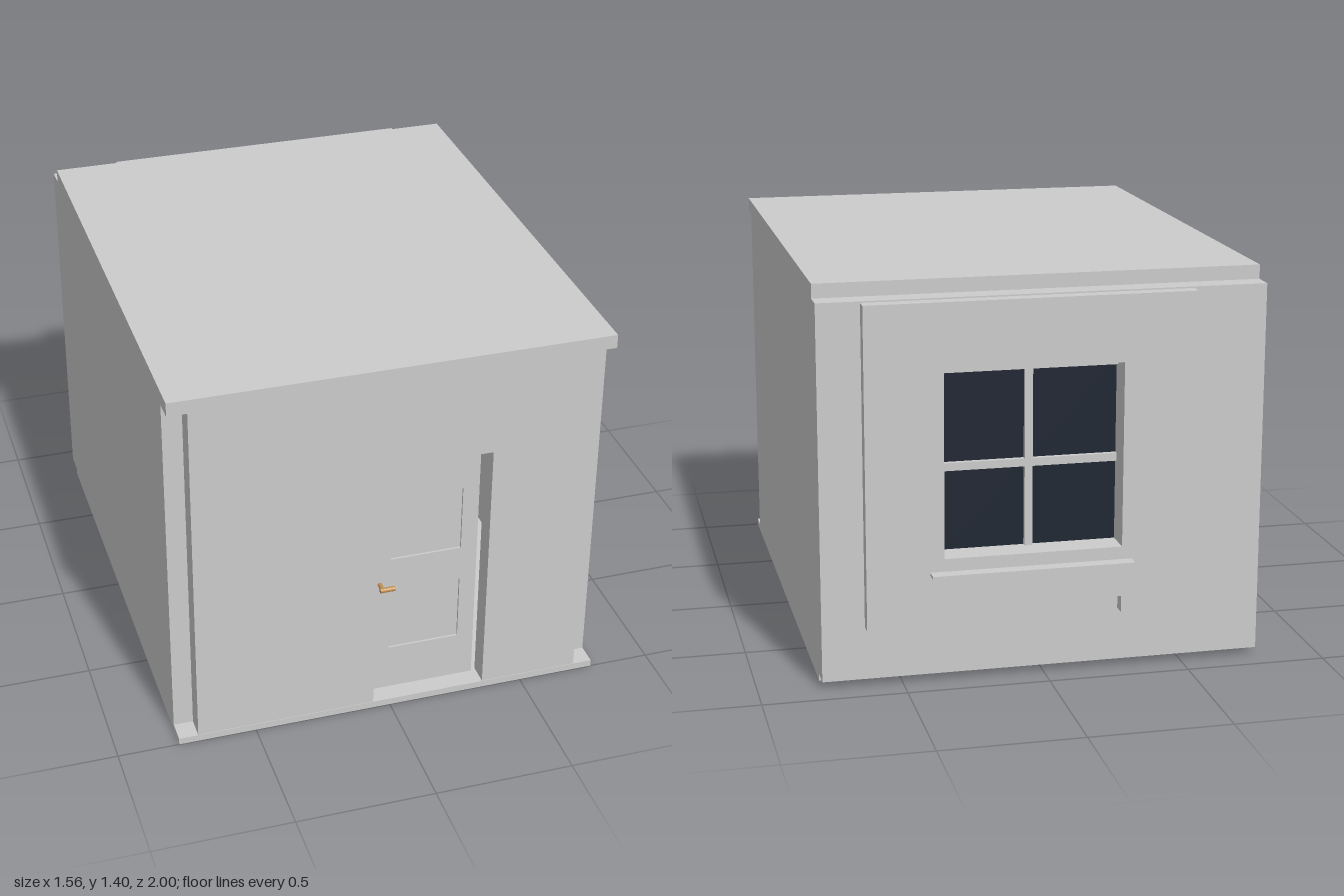
import * as THREE from 'three';

const material = (color) => new THREE.MeshStandardMaterial({ color, flatShading: true });
const grey = material(0xcccccc);
const glass = material(0x1c2430);
const brass = material(0xc09050);

export function createModel() {
  const room = new THREE.Group();
  room.name = 'room';

  const add = (name, geometry, mat = grey, parent = room) => {
    const mesh = new THREE.Mesh(geometry, mat);
    mesh.name = name;
    parent.add(mesh);
    return mesh;
  };
  // Box given by its limits on each axis
  const box = (name, x0, x1, y0, y1, z0, z1, mat = grey, parent = room) => {
    const mesh = add(name, new THREE.BoxGeometry(x1 - x0, y1 - y0, z1 - z0), mat, parent);
    mesh.position.set((x0 + x1) / 2, (y0 + y1) / 2, (z0 + z1) / 2);
    return mesh;
  };
  const rect = (x0, x1, y0, y1) => [[x0, y0], [x1, y0], [x1, y1], [x0, y1]];
  // Flat slab from an outline and openings, between two depths
  const slab = (name, outline, holes, z0, z1, parent = room) => {
    const toVectors = (points) => points.map(([x, y]) => new THREE.Vector2(x, y));
    const shape = new THREE.Shape(toVectors(outline));
    for (const hole of holes) shape.holes.push(new THREE.Path(toVectors(hole)));
    const geometry = new THREE.ExtrudeGeometry(shape, { depth: z1 - z0, bevelEnabled: false });
    return add(name, geometry.translate(0, 0, z0), grey, parent);
  };

  // Shell: floor, ceiling and walls, with open notches at the front corners
  const W = 0.78, IN = 0.71, LOW = 0.025, HIGH = 1.35;
  box('floor', -W, W, 0, LOW, -0.825, 1);
  box('ceiling', -W, W, HIGH, 1.4, -0.825, 1);
  for (const side of [-1, 1]) {
    const edges = [side * IN, side * W].sort((a, b) => a - b);
    box(side > 0 ? 'leftWall' : 'rightWall', ...edges, LOW, HIGH, -0.825, 0.92);
  }
  slab('frontWall', [
    [-IN, LOW], [-0.063, LOW], [-0.063, 1.01], [0.353, 1.01],
    [0.353, LOW], [IN, LOW], [IN, HIGH], [-IN, HIGH],
  ], [], 0.92, 0.998);

  // Back wall with its raised outer panel, both pierced by the window
  const L = -0.265, R = 0.36, B = 0.455, T = 1.11;
  const opening = rect(L, R, B, T);
  slab('backWall', rect(-W, W, LOW, HIGH), [opening], -0.905, -0.825);
  slab('outerPanel', [
    [-0.52, 0.215], [L, 0.215], [L, 0.275], [R, 0.275],
    [R, 0.215], [0.63, 0.215], [0.63, 1.345], [-0.52, 1.345],
  ], [opening], -0.953, -0.905);
  box('outerSill', -0.3, 0.41, 0.4, 0.41, -1, -0.95);

  // Window: glass, outer glazing bars and a pair of inner casements
  const windowGroup = new THREE.Group();
  windowGroup.name = 'window';
  room.add(windowGroup);
  const middle = (L + R) / 2;
  box('glass', L, R, B, T, -0.85, -0.842, glass, windowGroup);
  box('verticalBar', middle - 0.014, middle + 0.014, B, T, -0.868, -0.84, grey, windowGroup);
  box('crossBar', L, R, 0.74, 0.768, -0.868, -0.84, grey, windowGroup);
  box('topRail', L, R, 1.085, T, -0.875, -0.84, grey, windowGroup);
  for (const [x0, x1] of [[L, middle], [middle, R]]) {
    slab('casement', rect(x0, x1, B, T), [
      rect(x0 + 0.035, x1 - 0.035, B + 0.035, 0.72),
      rect(x0 + 0.035, x1 - 0.035, 0.77, T - 0.035),
    ], -0.842, -0.815, windowGroup);
  }
  box('innerSill', -0.3, 0.4, 0.43, 0.455, -0.842, -0.76);

  // Radiator below the window, with a brass valve
  const radiator = new THREE.Group();
  radiator.name = 'radiator';
  room.add(radiator);
  box('radiatorBody', -0.23, 0.32, 0.1, 0.315, -0.81, -0.78, grey, radiator);
  for (let i = 0; i < 14; i++) {
    const x = -0.22 + i * 0.04;
    box('radiatorRib', x - 0.012, x + 0.012, 0.11, 0.305, -0.78, -0.768, grey, radiator);
  }
  const valve = add('valve', new THREE.CylinderGeometry(0.014, 0.014, 0.04, 12), brass, radiator);
  valve.rotation.z = Math.PI / 2;
  valve.position.set(0.335, 0.15, -0.79);

  // Door leaf with two sunken fields
  const door = new THREE.Group();
  door.name = 'door';
  room.add(door);
  const fields = [rect(0.015, 0.275, 0.2, 0.45), rect(0.015, 0.275, 0.585, 0.835)];
  slab('doorFrame', rect(-0.047, 0.335, LOW, 0.98), fields, 0.89, 0.93, door);
  for (const [y0, y1] of [[0.2, 0.45], [0.585, 0.835]]) {
    box('doorField', 0.015, 0.275, y0, y1, 0.898, 0.922, grey, door);
  }

  // Lever handle on each face of the door
  for (const [face, out] of [[0.93, 1], [0.89, -1]]) {
    const stem = add('handleStem', new THREE.CylinderGeometry(0.008, 0.008, 0.04, 12), brass, door);
    stem.rotation.x = Math.PI / 2;
    stem.position.set(-0.024, 0.486, face + out * 0.018);
    const lever = add('handleLever', new THREE.CylinderGeometry(0.009, 0.009, 0.054, 12), brass, door);
    lever.rotation.z = Math.PI / 2;
    lever.position.set(-0.007, 0.486, face + out * 0.036);
  }

  return room;
}
